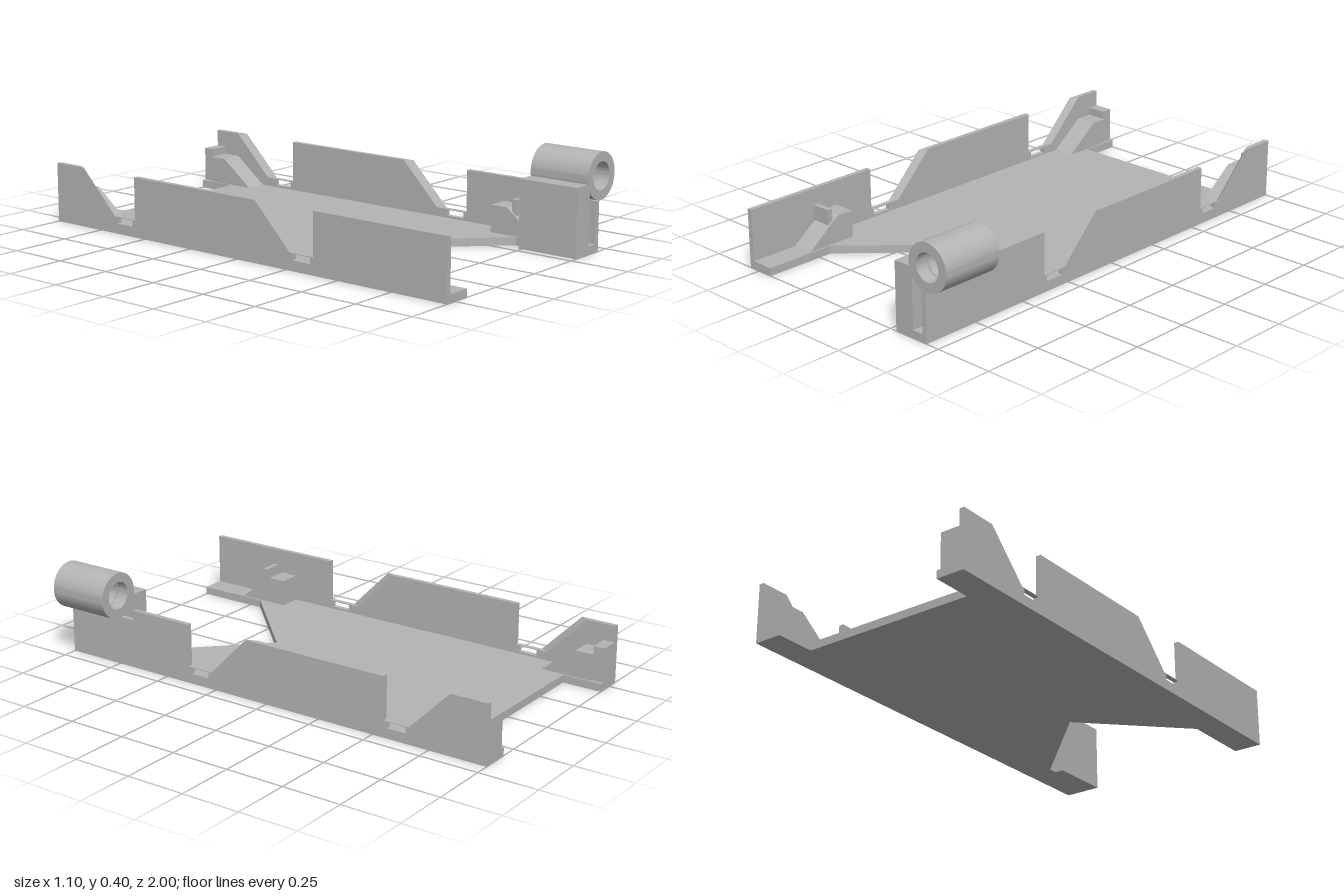
import * as THREE from 'three';
import { toCreasedNormals } from 'three/addons/utils/BufferGeometryUtils.js';

const MID = -0.055;      // symmetry plane of the tray
const FLOOR = 0.033;     // floor thickness
const TOP = 0.247;       // wall height

const toShape = (pts) => new THREE.Shape(pts.map(([a, b]) => new THREE.Vector2(a, b)));
const rect = (a0, b0, a1, b1) => [[a0, b0], [a1, b0], [a1, b1], [a0, b1]];

// Extrudes a (z, y) profile across x from x0 to x1
function sideExtrude(pts, x0, x1, holes = []) {
  const shape = toShape(pts);
  for (const h of holes) shape.holes.push(toShape(h));
  const geo = new THREE.ExtrudeGeometry(shape, { depth: x1 - x0, bevelEnabled: false });
  return geo.rotateY(-Math.PI / 2).translate(x1, 0, 0);
}

export function createModel() {
  const model = new THREE.Group();
  model.name = 'mountingTray';
  const grey = new THREE.MeshStandardMaterial({ color: 0xb4b4b4 });
  grey.name = 'plainGrey';

  const add = (name, geo) => {
    const mesh = new THREE.Mesh(geo, grey);
    mesh.name = name;
    model.add(mesh);
  };

  // Floor with a V cut at the front and a shallow cut at the back
  const floor = toShape([
    [-0.55, -1], [-0.43, -1], [-0.43, -0.83], [0.32, -0.83], [0.32, -1], [0.44, -1],
    [0.44, 1], [0.32, 1], [0.32, 0.695], [MID, 0.32], [-0.43, 0.695], [-0.43, 1], [-0.55, 1],
  ]);
  add('floor', new THREE.ExtrudeGeometry(floor, { depth: FLOOR, bevelEnabled: false })
    .rotateX(Math.PI / 2).translate(0, FLOOR, 0));

  // Side walls with two sloped gaps, each over a small slot
  const gaps = [[0.385, 0.27, 0.095], [-0.55, -0.663, -0.84]];
  const slots = gaps.map(([g]) => rect(g - 0.1, 0.042, g - 0.015, 0.067));
  for (const side of [-1, 1]) {
    const pts = side > 0 ? [[1, 0], [1, 0.205], [0.67, 0.205], [0.67, TOP]] : [[1, 0], [1, TOP]];
    for (const [g0, g1, g2] of gaps) pts.push([g0, TOP], [g0, 0.07], [g1, 0.07], [g2, TOP]);
    pts.push([-1, TOP], [-1, 0]);
    const inner = MID + side * 0.474, outer = MID + side * 0.495;
    const geo = sideExtrude(pts, Math.min(inner, outer), Math.max(inner, outer), slots);
    // Slopes are cut at a slant, so the inner edge sits further back
    const p = geo.attributes.position;
    for (let i = 0; i < p.count; i++) {
      if (Math.abs(p.getX(i) - inner) > 0.002 || p.getY(i) < 0.069) continue;
      for (const [, g1, g2] of gaps) {
        const z = p.getZ(i);
        if (Math.abs(z - g1) < 0.002 || Math.abs(z - g2) < 0.002) {
          p.setZ(i, z - 0.035);
          break;
        }
      }
    }
    geo.computeVertexNormals();
    add(side > 0 ? 'leftWall' : 'rightWall', geo);
  }

  // Ramped clips, each with a thin stop, in the four corners
  const ramp = (z) => [[z, 0.02], [z, FLOOR], [z - 0.147, 0.145], [z - 0.222, 0.145], [z - 0.222, 0.02]];
  for (const side of [-1, 1]) {
    const label = side > 0 ? 'Left' : 'Right';
    const across = (pts, reach) => {
      const a = MID + side * reach, b = MID + side * 0.48;
      return sideExtrude(pts, Math.min(a, b), Math.max(a, b));
    };
    add('front' + label + 'Clip', across(ramp(0.792), 0.382));
    add('front' + label + 'Stop', across(rect(0.665, 0.08, 0.687, 0.178), 0.391));
    add('back' + label + 'Clip', across(ramp(-0.728), 0.382));
    add('back' + label + 'Stop', across(rect(-1, 0.02, -0.95, 0.178), 0.391));
  }

  // Upright block that carries the sleeve
  const block = toShape([[0.282, 0], [0.37, 0], [0.37, 0.252], [0.36, 0.28], [0.282, 0.28]]);
  add('sleeveBlock', new THREE.ExtrudeGeometry(block, { depth: 0.264, bevelEnabled: false })
    .translate(0, 0, 0.736));

  // Hollow sleeve with a slightly narrower ring inside
  const profile = [
    [0.096, 0], [0.096, 0.264], [0.057, 0.264], [0.057, 0.21], [0.053, 0.21],
    [0.053, 0.054], [0.057, 0.054], [0.057, 0], [0.096, 0],
  ].map(([r, y]) => new THREE.Vector2(r, y));
  const sleeve = toCreasedNormals(new THREE.LatheGeometry(profile, 64), 0.6);
  add('sleeve', sleeve.rotateX(Math.PI / 2).translate(0.451, 0.3, 0.736));

  return model;
}
